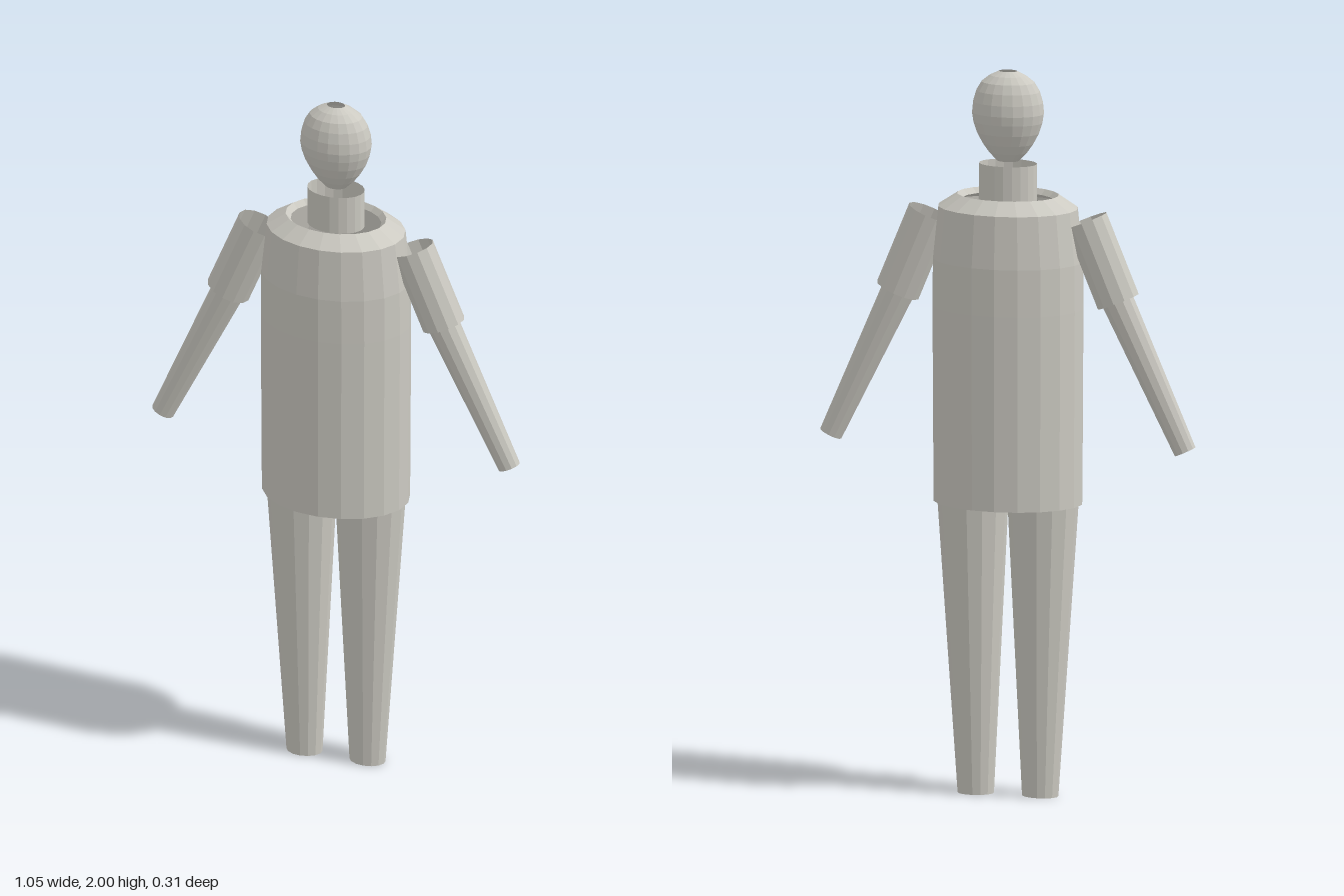
import * as THREE from 'three';

const plaster = new THREE.MeshStandardMaterial({ color: 0xcccac2, flatShading: true, side: THREE.DoubleSide });
plaster.name = 'warm grey';

// Open oval shell from [radius, height] points, squashed front to back
function shell(name, points, depth, sides) {
  const profile = points.map(([r, y]) => new THREE.Vector2(r, y));
  const geometry = new THREE.LatheGeometry(profile, sides);
  geometry.scale(1, 1, depth);
  const mesh = new THREE.Mesh(geometry, plaster);
  mesh.name = name;
  return mesh;
}

// Open oval tube between two points in the z = 0 plane
function limb(name, [x0, y0, r0], [x1, y1, r1], depth, sides) {
  const length = Math.hypot(x1 - x0, y1 - y0);
  const mesh = shell(name, [[r1, -length / 2], [r0, length / 2]], depth, sides);
  mesh.position.set((x0 + x1) / 2, (y0 + y1) / 2, 0);
  mesh.rotation.z = Math.atan2(x1 - x0, y0 - y1);
  return mesh;
}

export function createModel() {
  const model = new THREE.Group();
  model.name = 'figure';

  // Long tunic, open at the hem and the collar
  model.add(shell('torso', [
    [0.206, 0.81], [0.209, 1.35], [0.208, 1.48], [0.193, 1.625], [0.14, 1.66], [0.126, 1.645],
  ], 0.74, 20));

  model.add(shell('neck', [[0.08, 1.635], [0.08, 1.745]], 0.7, 20));

  // Egg-shaped head with a small opening at the crown
  model.add(shell('head', [
    [0, 1.75], [0.03, 1.752], [0.052, 1.775], [0.07, 1.8], [0.086, 1.83], [0.096, 1.86], [0.1, 1.885],
    [0.097, 1.915], [0.088, 1.945], [0.073, 1.97], [0.05, 1.988], [0.025, 2],
  ], 0.71, 20));

  // Mirrored limbs
  for (const [side, s] of [['left', 1], ['right', -1]]) {
    model.add(
      limb(side + 'Sleeve', [s * 0.218, 1.598, 0.062], [s * 0.308, 1.378, 0.062], 0.81, 12),
      limb(side + 'Forearm', [s * 0.307, 1.378, 0.046], [s * 0.495, 0.972, 0.032], 0.8, 12),
      limb(side + 'Leg', [s * 0.098, 0.815, 0.098], [s * 0.09, 0, 0.05], 0.74, 14),
    );
  }
  return model;
}
